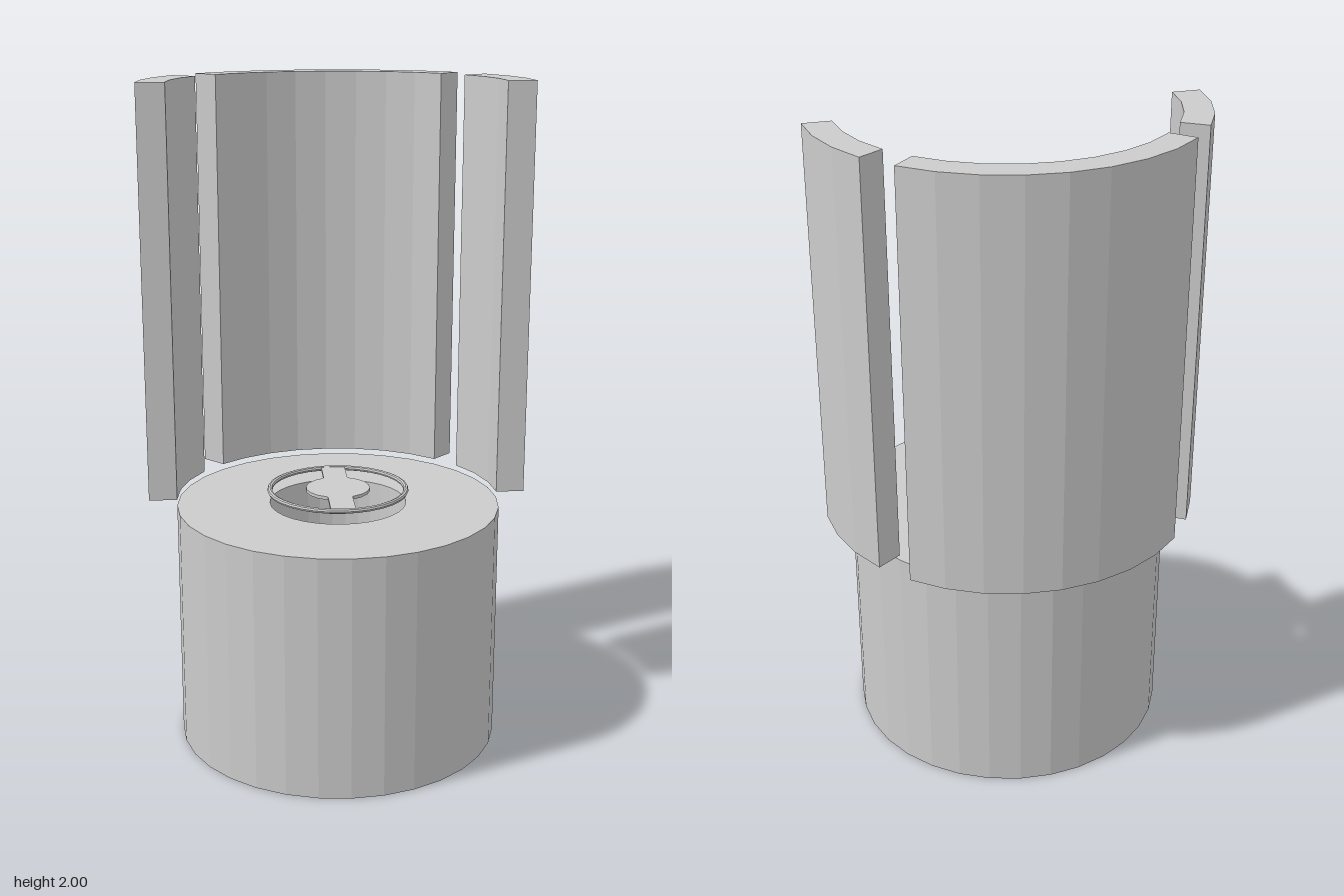
import * as THREE from 'three';

const STEP = Math.PI / 16; // one facet of the 32-sided round parts

const material = new THREE.MeshStandardMaterial({ color: 0xcccccc, flatShading: true });

// Points on a circle of radius r from angle a to angle b
function arc(r, a, b, n) {
  return Array.from({ length: n + 1 }, (_, i) => {
    const t = a + ((b - a) * i) / n;
    return new THREE.Vector2(r * Math.cos(t), r * Math.sin(t));
  });
}

// Extrudes a plan outline upward from y0 to y1
function prism(name, shape, y0, y1) {
  const geometry = new THREE.ExtrudeGeometry(shape, { depth: y1 - y0, bevelEnabled: false });
  geometry.rotateX(-Math.PI / 2);
  const mesh = new THREE.Mesh(geometry, material);
  mesh.position.y = y0;
  mesh.name = name;
  return mesh;
}

export function createModel() {
  const model = new THREE.Group();
  model.name = 'slottedCylinder';
  const parts = new THREE.Group();
  parts.name = 'parts';
  parts.position.set(-0.045, 0, 0.04);
  model.add(parts);

  // Thick cylindrical base with a through bore
  const base = new THREE.Shape(arc(0.49, 0, 31 * STEP, 31));
  base.holes.push(new THREE.Path(arc(0.208, 0, 31 * STEP, 31)));
  parts.add(prism('base', base, 0, 0.74));

  // Curved wall panels: one wide quarter and a narrow one on each side
  const panels = [['wideWall', 0, 8], ['backWall', 9, 12], ['sideWall', -4, -1]];
  for (const [name, from, to] of panels) {
    const a = from * STEP, b = to * STEP, n = to - from;
    const outline = [...arc(0.575, a, b, n), ...arc(0.49, b, a, n)];
    parts.add(prism(name, new THREE.Shape(outline), 0.757, 2));
  }

  // Thin ring above the bore
  const ringGeometry = new THREE.TorusGeometry(0.208, 0.008, 8, 32);
  ringGeometry.rotateX(Math.PI / 2);
  const ring = new THREE.Mesh(ringGeometry, material);
  ring.position.y = 0.78;
  ring.name = 'ring';
  parts.add(ring);

  // Round hub with a diagonal crossbar spanning the ring
  const half = 0.037, hub = 0.098, reach = 0.205;
  const inner = Math.asin(half / hub), outer = Math.asin(half / reach);
  const outline = [];
  for (const turn of [Math.PI / 4, (5 * Math.PI) / 4]) {
    outline.push(...arc(reach, turn - outer, turn + outer, 2));
    outline.push(...arc(hub, turn + inner, turn + Math.PI - inner, 7));
  }
  parts.add(prism('hubAndCrossbar', new THREE.Shape(outline), 0.775, 0.785));

  return model;
}
